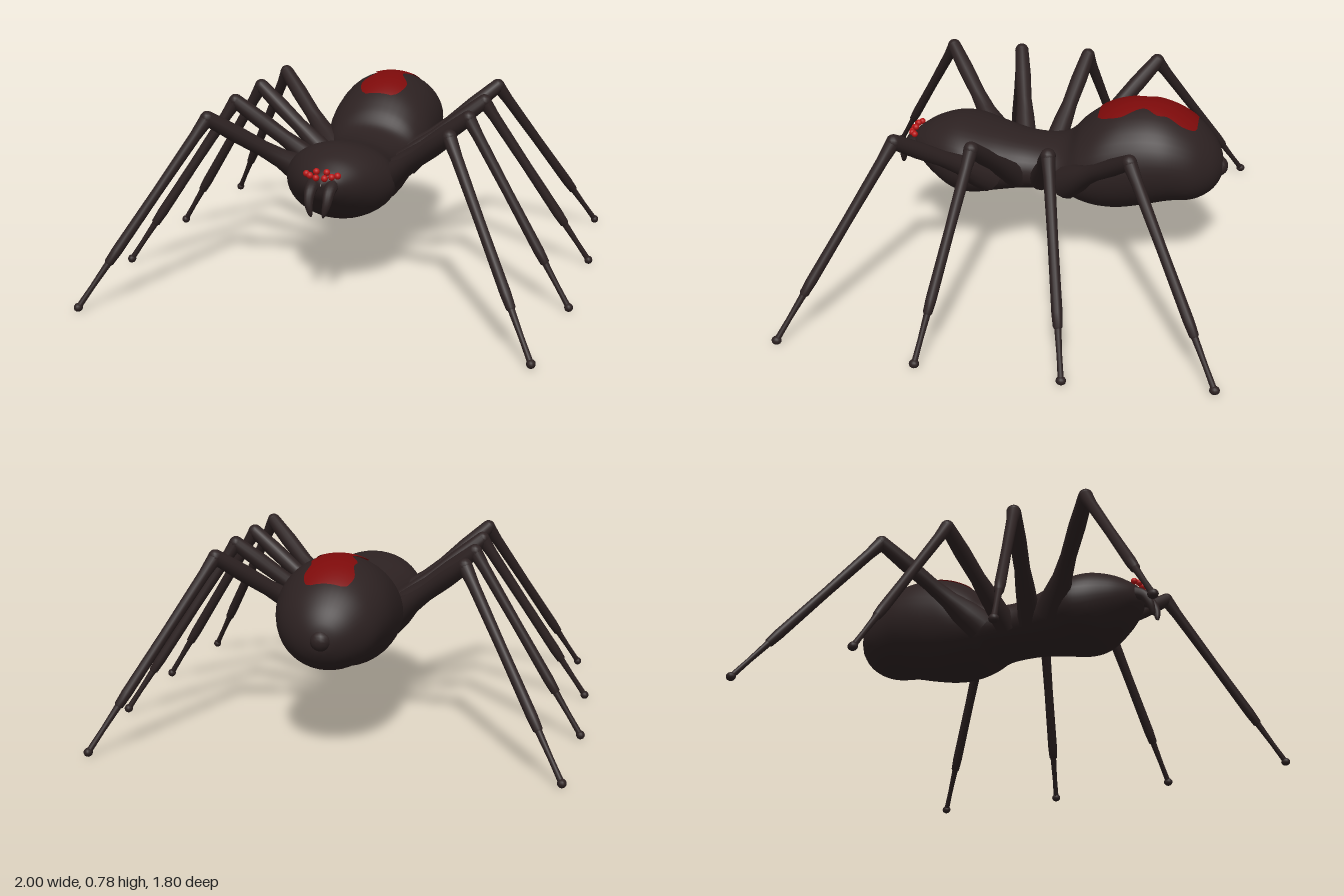
import * as THREE from 'three';

const V = (x, y, z) => new THREE.Vector3(x, y, z);
const mat = (name, color) => new THREE.MeshStandardMaterial({ name, color });

// Body stations from head to tail: z, half width, top, bottom
const STATIONS = [
  [0.535, 0.002, 0.525, 0.515], [0.52, 0.06, 0.555, 0.47], [0.49, 0.105, 0.58, 0.43],
  [0.43, 0.16, 0.615, 0.375], [0.34, 0.215, 0.64, 0.32], [0.25, 0.236, 0.632, 0.31],
  [0.14, 0.2, 0.605, 0.325], [0.02, 0.17, 0.577, 0.342], [-0.09, 0.172, 0.573, 0.345],
  [-0.16, 0.19, 0.595, 0.338], [-0.22, 0.218, 0.66, 0.31], [-0.3, 0.238, 0.722, 0.29],
  [-0.39, 0.243, 0.76, 0.29], [-0.5, 0.241, 0.772, 0.315], [-0.6, 0.228, 0.752, 0.343],
  [-0.7, 0.193, 0.7, 0.355], [-0.77, 0.135, 0.635, 0.39], [-0.81, 0.07, 0.57, 0.44],
  [-0.825, 0.002, 0.505, 0.495],
];
const spline = (f) => new THREE.CatmullRomCurve3(STATIONS.map(f), false, 'catmullrom', 0.5);
const upper = spline(([z, w, top]) => V(w, top, z));
const lower = spline(([z, w, , bottom]) => V(w, bottom, z));

// Elliptical cross-section of the body at curve position t
function section(t) {
  const u = upper.getPoint(t), l = lower.getPoint(t);
  return { z: u.z, w: Math.max(u.x, 0.001), y: (u.y + l.y) / 2, h: Math.max((u.y - l.y) / 2, 0.001) };
}
function sectionAtZ(z) {
  let a = 0, b = 1;
  for (let k = 0; k < 30; k++) {
    const m = (a + b) / 2;
    if (upper.getPoint(m).z > z) a = m; else b = m;
  }
  return section(a);
}

// Surface from rows of points; closed joins the ends of each row
function surface(rows, cols, closed, point) {
  const pos = [], index = [];
  for (let i = 0; i <= rows; i++)
    for (let j = 0; j < cols; j++) pos.push(...point(i / rows, j / (closed ? cols : cols - 1)));
  for (let i = 0; i < rows; i++)
    for (let j = 0; j < (closed ? cols : cols - 1); j++) {
      const a = i * cols + j, b = i * cols + (j + 1) % cols;
      index.push(a, a + cols, b, b, a + cols, b + cols);
    }
  const g = new THREE.BufferGeometry();
  g.setAttribute('position', new THREE.Float32BufferAttribute(pos, 3));
  g.setIndex(index);
  g.computeVertexNormals();
  return g;
}

// Round limb between two points; profile is [radius, fraction of length]
function limb(a, b, profile) {
  const d = b.clone().sub(a), len = d.length();
  const pts = profile.map(([r, t]) => new THREE.Vector2(r, t * len));
  const g = new THREE.LatheGeometry(pts, 14);
  g.applyQuaternion(new THREE.Quaternion().setFromUnitVectors(V(0, 1, 0), d.normalize()));
  return g.translate(a.x, a.y, a.z);
}

export function createModel() {
  const model = new THREE.Group();
  model.name = 'spider';
  const dark = mat('dark brown shell', 0x2c2121);
  const red = mat('dark red marking', 0x7c0a0a);
  const eyeRed = mat('bright red eye', 0xb81616);
  const add = (parent, name, geometry, material) => {
    const mesh = new THREE.Mesh(geometry, material);
    mesh.name = name;
    parent.add(mesh);
    return mesh;
  };
  const ball = (parent, name, r, p, material, scale = [1, 1, 1]) => {
    const m = add(parent, name, new THREE.SphereGeometry(r, 14, 10), material);
    m.position.copy(p);
    m.scale.set(...scale);
    return m;
  };

  // Head, waist and abdomen in one smooth skin
  add(model, 'body', surface(108, 40, true, (t, s) => {
    const c = section(t), a = s * Math.PI * 2;
    return [c.w * Math.cos(a), c.y + c.h * Math.sin(a), c.z];
  }), dark);
  ball(model, 'spinneret', 0.042, V(0, 0.5, -0.805), dark, [1, 1, 0.9]);

  // Hourglass marking lying just above the abdomen: z, half width
  const outline = new THREE.SplineCurve([
    [-0.285, 0.06], [-0.315, 0.09], [-0.39, 0.105], [-0.475, 0.062], [-0.535, 0.092],
    [-0.58, 0.086], [-0.64, 0.1], [-0.69, 0.085], [-0.705, 0.06],
  ].map(([z, w]) => new THREE.Vector2(z, w)));
  const marking = add(model, 'backMarking', surface(40, 15, false, (t, s) => {
    const o = outline.getPoint(t), c = sectionAtZ(o.x), x = o.y * (1 - 2 * s);
    return [x, c.y + c.h * Math.sqrt(1 - (x / c.w) ** 2) + 0.005, o.x];
  }), red);
  marking.material.side = THREE.DoubleSide;

  // Four pairs of legs, mirrored left-right and front-back
  const legs = [
    { name: 'outerLeg', hip: [0.15, 0.44, 0.17], knee: [0.51, 0.745, 0.475], foot: [0.93, 0.018, 0.88], flare: 0.075 },
    { name: 'middleLeg', hip: [0.12, 0.43, 0.055], knee: [0.515, 0.745, 0.155], foot: [0.98, 0.018, 0.293], flare: 0.055 },
  ];
  for (const { name, hip, knee, foot, flare } of legs)
    for (const sx of [1, -1])
      for (const sz of [1, -1]) {
        const leg = new THREE.Group();
        leg.name = name + (sz > 0 ? 'Front' : 'Back') + (sx > 0 ? 'Left' : 'Right');
        model.add(leg);
        const [h, k, f] = [hip, knee, foot].map(([x, y, z]) => V(x * sx, y, z * sz));
        const ankle = k.clone().lerp(f, 0.78);
        add(leg, 'thigh', limb(h, k, [[flare, 0], [flare * 0.85, 0.15], [0.042, 0.32], [0.034, 0.5], [0.036, 0.75], [0.031, 1]]), dark);
        ball(leg, 'knee', 0.031, k, dark);
        add(leg, 'shin', limb(k, ankle, [[0.03, 0], [0.024, 0.12], [0.021, 0.5], [0.022, 0.9], [0.019, 0.98], [0.008, 1]]), dark);
        add(leg, 'lowerLeg', limb(ankle, f, [[0.014, -0.05], [0.011, 0.5], [0.012, 1]]), dark);
        ball(leg, 'foot', 0.018, f, dark, [1, 1, 1.15]);
      }

  // Fangs curving forward and down, and four eyes on each side
  const eyes = [[0.018, 0.552, 0.54], [0.022, 0.573, 0.522], [0.046, 0.558, 0.533], [0.066, 0.56, 0.517]];
  for (const sx of [1, -1]) {
    const side = sx > 0 ? 'Left' : 'Right';
    const path = new THREE.CatmullRomCurve3([
      V(0.04 * sx, 0.52, 0.5), V(0.04 * sx, 0.497, 0.55), V(0.038 * sx, 0.455, 0.575), V(0.025 * sx, 0.4, 0.585),
    ]);
    const fang = new THREE.TubeGeometry(path, 16, 1, 12);
    const p = fang.attributes.position, v = V(0, 0, 0);
    for (let i = 0; i < p.count; i++) {
      const t = Math.floor(i / 13) / 16, c = path.getPointAt(t);
      v.fromBufferAttribute(p, i).sub(c).multiplyScalar(0.027 * Math.sqrt(1 - t) + 0.002).add(c);
      p.setXYZ(i, v.x, v.y, v.z);
    }
    fang.computeVertexNormals();
    add(model, 'fang' + side, fang, dark);
    eyes.forEach(([x, y, z], i) => ball(model, `eye${side}${i + 1}`, 0.014, V(x * sx, y, z), eyeRed));
  }
  return model;
}
